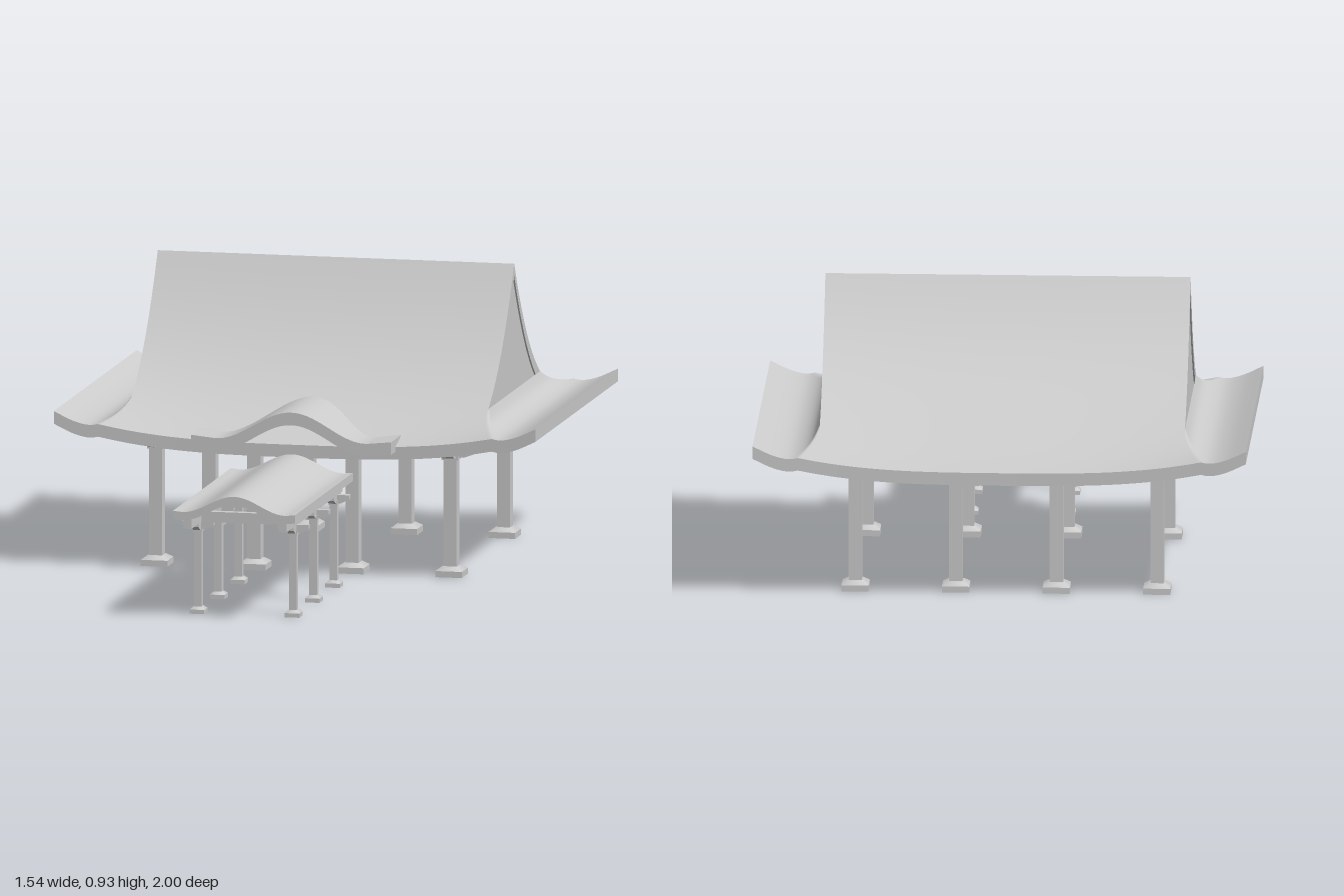
import * as THREE from 'three';

const material = new THREE.MeshStandardMaterial({ color: 0xcccccc, side: THREE.DoubleSide });

const HALF_DEPTH = 0.583, ROOF_Z = -0.417, RIDGE_X = 0.57, EAVE_X = 0.77;

function mesh(geometry, name, parent, x = 0, y = 0, z = 0) {
  const m = new THREE.Mesh(geometry, material);
  m.name = name;
  m.position.set(x, y, z);
  parent.add(m);
  return m;
}

// Box given by its centre in plan and its lower and upper heights
function box(parent, name, w, y0, y1, d, x, z) {
  return mesh(new THREE.BoxGeometry(w, y1 - y0, d), name, parent, x, (y0 + y1) / 2, z);
}

// Curved slab: point(u, v) gives the upper surface, thickness is measured straight down
function slab(nu, nv, thickness, point) {
  const pos = [], index = [];
  const patch = (a, b, fn) => {
    const start = pos.length / 3;
    for (let i = 0; i <= a; i++) for (let j = 0; j <= b; j++) pos.push(...fn(i / a, j / b));
    for (let i = 0; i < a; i++) for (let j = 0; j < b; j++) {
      const p = start + i * (b + 1) + j, q = p + b + 1;
      index.push(p, p + 1, q, q, p + 1, q + 1);
    }
  };
  const drop = (u, v, k) => {
    const [x, y, z] = point(u, v);
    return [x, y - thickness * k, z];
  };
  patch(nu, nv, (u, v) => drop(u, v, 0));
  patch(nu, nv, (u, v) => drop(1 - u, v, 1));
  patch(nu, 1, (u, k) => drop(u, 1, k));
  patch(nu, 1, (u, k) => drop(1 - u, 0, k));
  patch(1, nv, (k, v) => drop(1, v, k));
  patch(1, nv, (k, v) => drop(0, v, 1 - k));
  const g = new THREE.BufferGeometry();
  g.setAttribute('position', new THREE.Float32BufferAttribute(pos, 3));
  g.setIndex(index);
  g.computeVertexNormals();
  return g;
}

// Height of the main slope: concave from ridge to eave, lifting towards the corners
function slopeHeight(d, x) {
  const t = Math.min(1, Math.abs(d) / HALF_DEPTH);
  return 0.425 + 0.5 * (0.7 * (1 - t) ** 2.4 + 0.3 * (1 - t))
    + 0.08 * (Math.abs(x) / EAVE_X) ** 3 * t * t;
}

const planZ = (d, x) => ROOF_Z + d * (1 - 0.02 * (1 - (x / EAVE_X) ** 2));

// Side skirt: a hollow curve running out from the foot of the gable
const skirtCurve = new THREE.SplineCurve([
  [0.57, 0.525], [0.59, 0.492], [0.62, 0.472], [0.66, 0.465], [0.71, 0.477], [0.77, 0.505],
].map(([x, y]) => new THREE.Vector2(x, y)));

function mainRoof(root) {
  const roof = new THREE.Group();
  roof.name = 'mainRoof';
  root.add(roof);
  // Front and back slopes, halved at the ridge to keep it sharp
  for (const s of [1, -1]) {
    mesh(slab(32, 32, 0.04, (u, v) => {
      const x = s * RIDGE_X * (2 * u - 1), d = s * HALF_DEPTH * v;
      return [x, slopeHeight(d, x), planZ(d, x)];
    }), s > 0 ? 'frontSlope' : 'backSlope', roof);
  }
  for (const s of [1, -1]) {
    // Skirt blends into the slopes along the hips
    mesh(slab(24, 120, 0.04, (u, v) => {
      const p = skirtCurve.getPoint(u), d = s * HALF_DEPTH * (2 * v - 1);
      return [s * p.x, Math.min(p.y, slopeHeight(d, p.x)), planZ(d, p.x)];
    }).scale(1, 1, 1), s > 0 ? 'leftSkirt' : 'rightSkirt', roof);
    // Recessed gable wall
    const wall = new THREE.Shape();
    wall.moveTo(-0.4, 0.47);
    for (let i = -20; i <= 20; i++) {
      const d = 0.4 * i / 20;
      wall.lineTo(d, Math.max(0.475, slopeHeight(d, RIDGE_X) - 0.025));
    }
    wall.lineTo(0.4, 0.47);
    const g = new THREE.ExtrudeGeometry(wall, { depth: 0.015, bevelEnabled: false });
    g.rotateY(-Math.PI / 2);
    mesh(g, s > 0 ? 'leftGable' : 'rightGable', roof, s > 0 ? 0.565 : -0.55, 0, ROOF_Z);
  }
}

// Wavy roof section: a rounded crest that flattens and turns up slightly at the sides
function wave(x, base, rise, w) {
  const a = Math.abs(x);
  return a < w ? base + rise * (1 + Math.cos(Math.PI * a / w)) / 2 : base + (a - w) * 0.1;
}

// Canopy over the entrance, its back edge following the main slope
function canopy(root) {
  mesh(slab(48, 6, 0.04, (u, v) => {
    const x = 0.32 * (2 * u - 1), y = wave(x, 0.447, 0.09, 0.24);
    let lo = 0.2, hi = HALF_DEPTH;
    for (let i = 0; i < 24; i++) {
      const mid = (lo + hi) / 2;
      if (slopeHeight(mid, x) > y) lo = mid; else hi = mid;
    }
    const back = planZ(lo, x) - 0.012;
    return [x, y, back + (0.215 - back) * v];
  }), 'entranceCanopy', root);
}

// Bracket arm with chamfered lower ends
function bracketArm(length, height, width) {
  const h = length / 2, s = new THREE.Shape();
  s.moveTo(-h, height);
  s.lineTo(-h, height * 0.5);
  s.lineTo(-h * 0.5, 0);
  s.lineTo(h * 0.5, 0);
  s.lineTo(h, height * 0.5);
  s.lineTo(h, height);
  return new THREE.ExtrudeGeometry(s, { depth: width, bevelEnabled: false }).translate(0, 0, -width / 2);
}

// Post on a stepped base, with a crossed bracket at the top
function post(root, name, x, z, o) {
  const g = new THREE.Group();
  g.name = name;
  g.position.set(x, 0, z);
  root.add(g);
  box(g, 'base', o.base, 0, o.baseH * 0.6, o.base, 0, 0);
  const cap = new THREE.CylinderGeometry(o.width * 0.8, o.base / Math.SQRT2, o.baseH * 0.4, 4, 1).rotateY(Math.PI / 4);
  mesh(cap, 'baseTop', g, 0, o.baseH * 0.8, 0);
  box(g, 'shaft', o.width, o.baseH * 0.8, o.top, o.width, 0, 0);
  box(g, 'collar', o.width * 1.25, o.armY - o.armH * 0.25, o.armY + o.armH * 0.3, o.width * 1.25, 0, 0);
  for (const turn of [0, Math.PI / 2]) {
    mesh(bracketArm(o.arm, o.armH, o.width * 0.95), 'bracketArm', g, 0, o.armY, 0).rotation.y = turn;
  }
}

function hallFrame(root) {
  const cx = -0.012, cz = -0.399;
  const o = { width: 0.042, base: 0.085, baseH: 0.032, top: 0.45, arm: 0.175, armY: 0.377, armH: 0.032 };
  for (const z of [-0.024, -0.773])
    for (const k of [-1.5, -0.5, 0.5, 1.5]) post(root, 'hallPost', cx + k * 0.314, z, o);
  // Ring of eave beams
  for (const s of [1, -1]) {
    box(root, 'longBeam', 1.09, 0.43, 0.465, 0.05, 0, cz + s * 0.405);
    box(root, 'sideBeam', 0.05, 0.43, 0.465, 0.86, s * 0.52, cz);
  }
}

function walkway(root) {
  const g = new THREE.Group();
  g.name = 'walkway';
  root.add(g);
  const cx = -0.004;
  mesh(slab(40, 1, 0.026, (u, v) => {
    const x = 0.195 * (2 * u - 1);
    return [cx + x, wave(x, 0.346, 0.054, 0.165), 0.185 + 0.815 * v];
  }), 'walkwayRoof', g);
  const o = { width: 0.024, base: 0.047, baseH: 0.022, top: 0.33, arm: 0.1, armY: 0.266, armH: 0.026 };
  for (const z of [0.26, 0.545, 0.83]) {
    for (const s of [1, -1]) post(g, 'walkwayPost', cx + s * 0.152, z, o);
    box(g, 'crossBeam', 0.32, 0.29, 0.323, 0.024, cx, z);
  }
  for (const s of [1, -1]) box(g, 'walkwayBeam', 0.026, 0.291, 0.328, 0.785, cx + s * 0.152, 0.593);
}

export function createModel() {
  const root = new THREE.Group();
  root.name = 'hallWithWalkway';
  mainRoof(root);
  canopy(root);
  hallFrame(root);
  walkway(root);
  return root;
}
